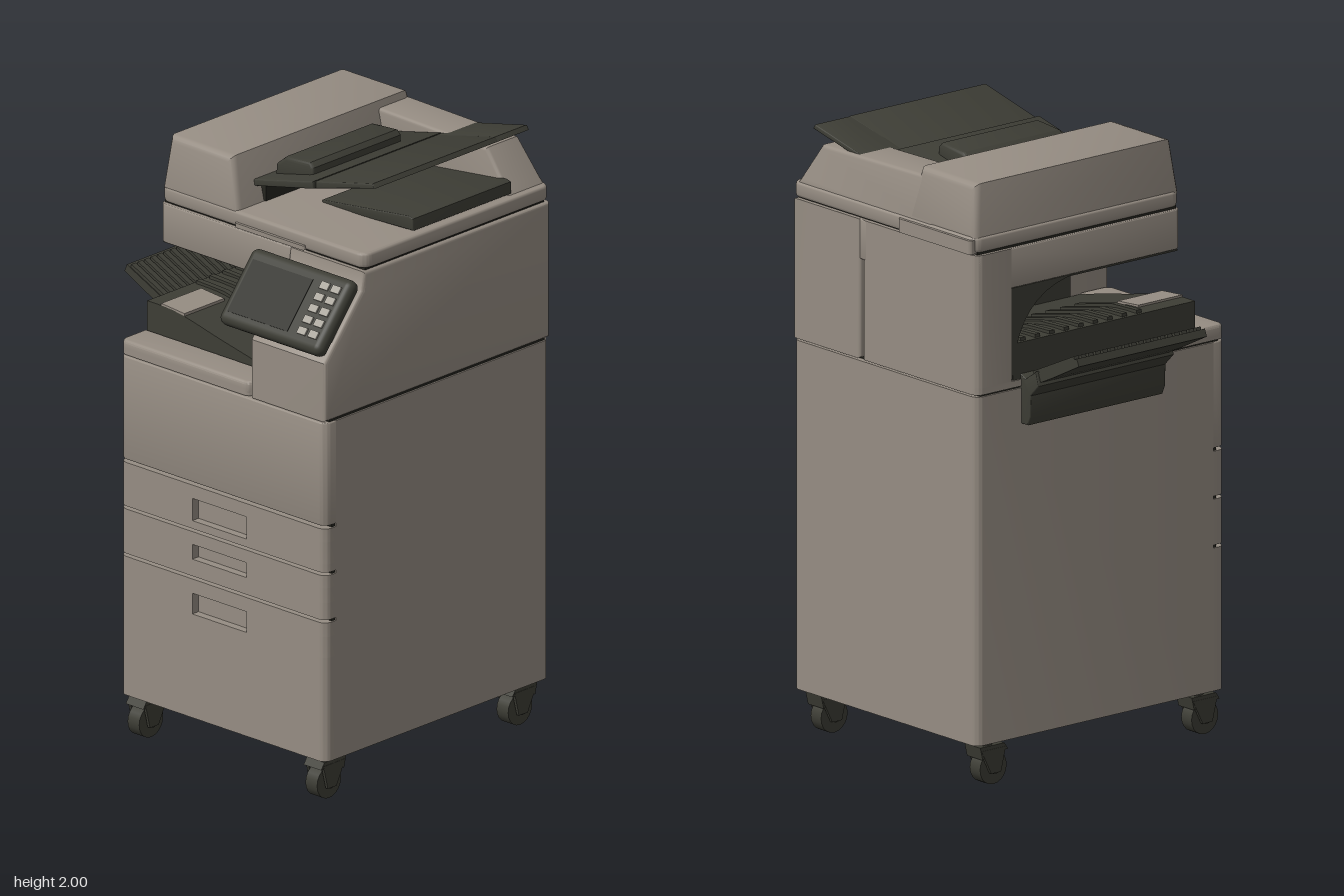
import * as THREE from 'three';
import { toCreasedNormals } from 'three/addons/utils/BufferGeometryUtils.js';
import { RoundedBoxGeometry } from 'three/addons/geometries/RoundedBoxGeometry.js';

const material = (name, color) => Object.assign(new THREE.MeshStandardMaterial({ color }), { name });

// Extrudes a closed outline by depth, keeping the outline's outer size when bevelled
function extrude(shape, depth, bevel) {
  return new THREE.ExtrudeGeometry(shape, {
    depth: depth - 2 * bevel, bevelEnabled: bevel > 0, bevelSize: bevel, bevelThickness: bevel,
    bevelOffset: -bevel, bevelSegments: 3, curveSegments: 6,
  }).translate(0, 0, bevel);
}
const outline = (pts) => new THREE.Shape(pts.map(([a, b]) => new THREE.Vector2(a, b)));

// Prism along z from an (x, y) profile
const prismZ = (pts, z0, z1, bevel = 0) =>
  toCreasedNormals(extrude(outline(pts), z1 - z0, bevel).translate(0, 0, z0), 0.6);

// Prism along x from a (z, y) profile
const prismX = (pts, x0, x1, bevel = 0) =>
  toCreasedNormals(extrude(outline(pts.map(([z, y]) => [-z, y])), x1 - x0, bevel)
    .rotateY(Math.PI / 2).translate(x0, 0, 0), 0.6);

// Upright slab with rounded front (rf) and back (rb) corners and an optional front notch
function slab(x0, x1, y0, y1, z0, z1, rf = 0, rb = 0, bevel = 0, notch = null) {
  const s = new THREE.Shape();
  s.moveTo(x0 + rf, -z1);
  if (notch) {
    const [a, b, d] = notch;
    s.lineTo(a, -z1); s.lineTo(a, d - z1); s.lineTo(b, d - z1); s.lineTo(b, -z1);
  }
  s.lineTo(x1 - rf, -z1);
  if (rf) s.absarc(x1 - rf, rf - z1, rf, -Math.PI / 2, 0);
  s.lineTo(x1, -z0 - rb);
  if (rb) s.absarc(x1 - rb, -z0 - rb, rb, 0, Math.PI / 2);
  s.lineTo(x0 + rb, -z0);
  if (rb) s.absarc(x0 + rb, -z0 - rb, rb, Math.PI / 2, Math.PI);
  s.lineTo(x0, rf - z1);
  if (rf) s.absarc(x0 + rf, rf - z1, rf, Math.PI, Math.PI * 1.5);
  return toCreasedNormals(extrude(s, y1 - y0, bevel).rotateX(-Math.PI / 2).translate(0, y0, 0), 0.6);
}

export function createModel() {
  const model = new THREE.Group();
  model.name = 'officeCopier';
  const shell = material('warm grey shell', 0x968d83);
  const dark = material('dark olive plastic', 0x3d3d35);
  const black = material('black glass', 0x25251f);
  const key = material('pale key', 0xa9a59b);

  const add = (name, geometry, mat, parent = model) => {
    const mesh = new THREE.Mesh(geometry, mat);
    mesh.name = name;
    parent.add(mesh);
    return mesh;
  };
  const box = (name, x0, x1, y0, y1, z0, z1, mat, parent) =>
    add(name, new THREE.BoxGeometry(x1 - x0, y1 - y0, z1 - z0)
      .translate((x0 + x1) / 2, (y0 + y1) / 2, (z0 + z1) / 2), mat, parent);
  const L = -0.315, R = 0.575, B = -0.525, F = 0.505;

  // Cabinet with a shadow core behind the drawer seams
  add('cabinet', slab(L, R, 0.145, 1.287, B, 0.455, 0, 0.03), shell);
  box('drawerSeamCore', L + 0.005, R - 0.005, 0.16, 1.28, 0.44, 0.47, black);
  box('topSeamCore', L + 0.006, R - 0.006, 1.28, 1.3, B + 0.02, 0.48, black);
  add('frontDoor', slab(L, R, 0.94, 1.287, 0.455, F, 0.03, 0, 0.004), shell);

  // Drawers, each in three bands so the middle one carries the grip recess
  [[0.145, 0.613, 0.495, 0.565], [0.623, 0.773, 0.68, 0.73], [0.783, 0.93, 0.81, 0.885]].forEach(([y0, y1, g0, g1], i) => {
    const drawer = new THREE.Group();
    drawer.name = 'drawer' + (i + 1);
    model.add(drawer);
    add('drawerLower', slab(L, R, y0, g0, 0.455, F, 0.03), shell, drawer);
    add('drawerGripBand', slab(L, R, g0, g1, 0.455, F, 0.03, 0, 0, [0, 0.235, 0.028]), shell, drawer);
    add('drawerUpper', slab(L, R, g1, y1, 0.455, F, 0.03), shell, drawer);
  });

  // Upper housing around the open delivery bay
  add('bayDeck', slab(L, 0.25, 1.293, 1.315, B, F, 0.03, 0.03), shell);
  add('bayLedge', slab(L, 0.25, 1.293, 1.34, 0.385, F, 0.03, 0, 0.01), shell);
  add('rightColumn', prismX([[B, 1.293], [F, 1.293], [F, 1.49], [0.335, 1.69], [0.325, 1.75], [B, 1.75]], 0.25, R, 0.012), shell);
  add('bayBackWall', slab(L, 0.25, 1.293, 1.75, B, -0.38, 0, 0.03), shell);
  add('scannerBody', slab(L, 0.27, 1.62, 1.75, B, 0.325, 0.03, 0.03, 0.004), shell);

  // Dark lining of the bay, curved at the back
  const curve = new THREE.QuadraticBezierCurve(
    new THREE.Vector2(-0.1, 1.619), new THREE.Vector2(-0.36, 1.6), new THREE.Vector2(-0.375, 1.32)).getPoints(10);
  add('bayLining', prismX([[-0.38, 1.32], [-0.38, 1.619], ...curve.map((p) => [p.x, p.y])], L + 0.002, 0.25), dark);
  box('bayCeiling', L + 0.005, 0.25, 1.613, 1.619, -0.37, 0.31, dark);
  box('bayRightWall', 0.243, 0.249, 1.32, 1.619, -0.37, 0.34, dark);

  // Delivery tray in the bay
  const trayTop = new THREE.SplineCurve([[L + 0.004, 1.435], [-0.18, 1.43], [0, 1.39], [0.14, 1.36], [0.245, 1.335]]
    .map(([x, y]) => new THREE.Vector2(x, y))).getPoints(14).map((p) => [p.x, p.y]);
  add('deliveryTray', prismZ([[L + 0.004, 1.315], ...trayTop, [0.245, 1.315]], -0.37, 0.383), dark);
  for (let i = 0; i < 9; i++) {
    const z = -0.33 + i * 0.06;
    add('deliveryTrayRib', prismZ([[-0.3, 1.42], [-0.3, 1.446], [-0.18, 1.441], [0, 1.401], [0, 1.37]], z, z + 0.02), dark);
  }
  add('trayPaperStop', prismZ([[-0.25, 1.42], [-0.25, 1.442], [-0.15, 1.434], [-0.15, 1.4]], 0.2, 0.383), shell);

  // Scanner lid, front lip and hinge cover
  box('lidSeam', L + 0.012, R - 0.012, 1.74, 1.765, B + 0.015, 0.31, black);
  add('scannerLid', slab(L + 0.005, R, 1.757, 1.808, -0.53, 0.325, 0.035, 0.035, 0.01), shell);
  add('lidGrip', slab(0.02, 0.32, 1.758, 1.773, 0.3, 0.335, 0.01), shell);
  add('hingeCover', slab(-0.3, 0.05, 1.755, 1.8, -0.54, -0.5, 0, 0.01), shell);

  // Document feeder: main hood and rear ridge, ends leaning inwards
  const taper = (geo) => {
    const p = geo.attributes.position;
    for (let i = 0; i < p.count; i++) {
      const z = p.getZ(i), lean = 0.12 * Math.max(0, p.getY(i) - 1.8);
      if (z > 0.2 || z < -0.45) p.setZ(i, z - Math.sign(z) * lean);
    }
    return toCreasedNormals(geo, 0.6);
  };
  add('feederHood', taper(prismZ([[-0.306, 1.795], [0.025, 1.795], [-0.018, 1.977], [-0.288, 1.977]], -0.525, 0.325, 0.022)), shell);
  add('feederRidge', taper(prismZ([[-0.1, 1.795], [0.56, 1.795], [0.535, 1.83], [0.455, 1.945], [-0.1, 1.955]], -0.525, -0.36, 0.012)), shell);
  box('feederMouth', 0.005, 0.03, 1.81, 1.86, -0.36, 0.2, black);

  // Feeder trays
  add('inputTrayInner', prismZ([[-0.015, 1.858], [-0.015, 1.88], [0.26, 1.945], [0.26, 1.92]], -0.36, 0.228, 0.004), dark);
  const outer = new THREE.Group();
  outer.name = 'inputTrayOuter';
  model.add(outer);
  add('inputTrayPlate', prismZ([[0.2, 1.902], [0.2, 1.928], [0.505, 1.999], [0.515, 1.985]], -0.35, 0.215, 0.004), dark, outer);
  add('inputTrayRearWing', prismZ([[0.25, 1.925], [0.25, 1.94], [0.503, 1.998], [0.513, 1.984]], -0.495, -0.34, 0.003), dark, outer);
  add('paperGuide', prismZ([[0.025, 1.88], [0.03, 1.925], [0.07, 1.957], [0.175, 1.965], [0.19, 1.95], [0.19, 1.915]], -0.255, 0.155, 0.012), dark);
  add('outputTray', prismZ([[0.16, 1.805], [0.16, 1.815], [0.535, 1.86], [0.553, 1.855], [0.553, 1.815], [0.3, 1.805]], -0.37, 0.08, 0.003), dark);

  // Tilted control panel: local x right, y up the slope, z out of the face
  const panel = new THREE.Group();
  panel.name = 'controlPanel';
  panel.position.set(0.355, 1.62, 0.437);
  panel.rotation.x = -0.7;
  model.add(panel);
  add('panelBody', new RoundedBoxGeometry(0.44, 0.265, 0.055, 4, 0.025), dark, panel);
  box('screen', -0.19, 0.07, -0.095, 0.09, 0.0265, 0.0295, black, panel);
  for (let row = 0; row < 5; row++) {
    for (let col = 0; col < 2; col++) {
      const x = 0.108 + col * 0.048, y = -0.09 + row * 0.04;
      box('panelKey', x, x + 0.036, y, y + 0.025, 0.026, 0.033, key, panel);
    }
  }

  // Folding side tray with ribs along its slope
  add('sideTrayBracket', prismZ([[-0.385, 1.355], [-0.335, 1.32], [-0.305, 1.335], [-0.305, 1.17], [-0.345, 1.17],
    [-0.358, 1.2], [-0.36, 1.27], [-0.4, 1.31]], -0.34, 0.22, 0.004), dark);
  add('sideTrayPlate', prismZ([[-0.582, 1.412], [-0.572, 1.436], [-0.355, 1.335], [-0.365, 1.305], [-0.45, 1.345]], -0.33, 0.2), dark);
  for (let i = 0; i < 18; i++) {
    const z = -0.328 + i * 0.0297;
    add('sideTrayRib', prismZ([[-0.56, 1.425], [-0.555, 1.44], [-0.36, 1.35], [-0.36, 1.33]], z, z + 0.02), dark);
  }

  // Swivel casters
  for (const x of [-0.26, 0.51]) {
    for (const z of [0.445, -0.43]) {
      const caster = new THREE.Group();
      caster.name = 'caster';
      caster.position.set(x, 0, z);
      model.add(caster);
      add('casterWheel', new THREE.CylinderGeometry(0.055, 0.055, 0.05, 20).rotateZ(Math.PI / 2).translate(0, 0.055, 0), dark, caster);
      add('casterHub', new THREE.CylinderGeometry(0.02, 0.02, 0.07, 12).rotateZ(Math.PI / 2).translate(0, 0.055, 0), dark, caster);
      add('casterStem', new THREE.CylinderGeometry(0.032, 0.032, 0.04, 12).translate(0, 0.13, -0.025), dark, caster);
      add('casterHood', prismX([[-0.065, 0.132], [0.035, 0.132], [0.05, 0.11], [-0.03, 0.105], [-0.055, 0.09]], -0.038, 0.038), dark, caster);
      for (const s of [-1, 1]) {
        add('casterFork', prismX([[-0.06, 0.12], [0.04, 0.12], [0.02, 0.04], [-0.02, 0.04]], s * 0.034 - 0.005, s * 0.034 + 0.005), dark, caster);
      }
    }
  }
  return model;
}
